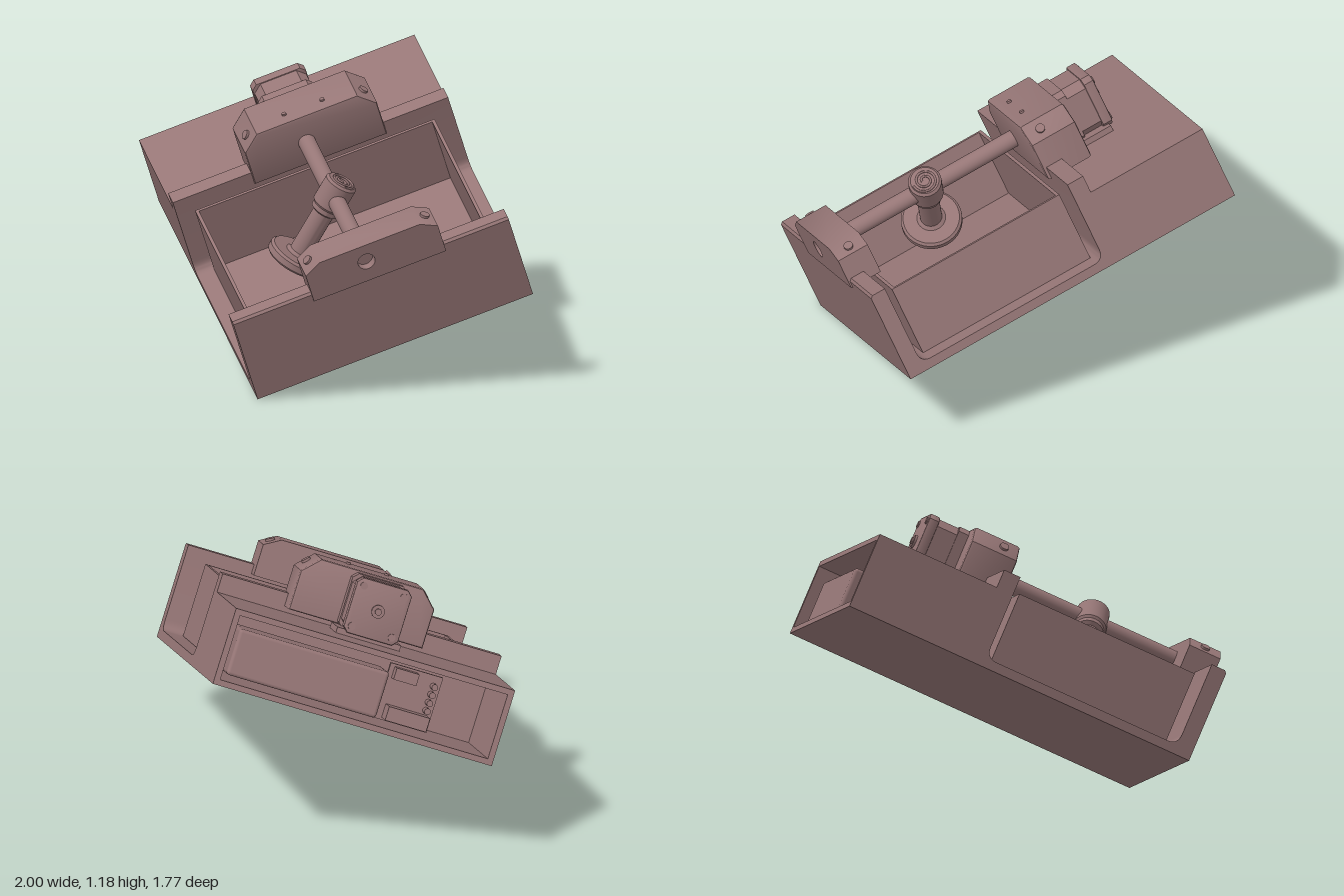
import * as THREE from 'three';
import { RoundedBoxGeometry } from 'three/addons/geometries/RoundedBoxGeometry.js';
import { toCreasedNormals } from 'three/addons/utils/BufferGeometryUtils.js';

// Local frame: u runs along the rod, w is up from the base, v runs to the back (-z).
const WIDTH = 1.57, DEPTH = 1.23, ROD_V = 0.61, ROD_W = 0.465;

export function createModel() {
  const model = new THREE.Group();
  const machine = new THREE.Group();
  machine.name = 'tiltedMachine';
  model.add(machine);
  const material = new THREE.MeshStandardMaterial({ color: 0x967676, side: THREE.DoubleSide });

  const add = (name, geometry, parent = machine) => {
    const mesh = new THREE.Mesh(geometry, material);
    mesh.name = name;
    parent.add(mesh);
    return mesh;
  };
  const box = (name, u0, u1, w0, w1, v0, v1, radius = 0) => {
    const s = [u1 - u0, w1 - w0, v1 - v0];
    const mesh = add(name, radius ? new RoundedBoxGeometry(...s, 2, radius) : new THREE.BoxGeometry(...s));
    mesh.position.set((u0 + u1) / 2, (w0 + w1) / 2, -(v0 + v1) / 2);
    return mesh;
  };
  // Cylinder lying along the rod direction
  const barrel = (name, radius, u0, u1, v, w, sides = 24) => {
    const mesh = add(name, new THREE.CylinderGeometry(radius, radius, u1 - u0, sides));
    mesh.rotation.z = Math.PI / 2;
    mesh.position.set((u0 + u1) / 2, w, -v);
    return mesh;
  };
  // Profile in (v, w) extruded along the rod direction
  const extrudeAlongRod = (name, shape, u0, u1, bevel = 0) => {
    const g = new THREE.ExtrudeGeometry(shape, {
      depth: u1 - u0 - 2 * bevel, bevelEnabled: bevel > 0, bevelSize: bevel,
      bevelThickness: bevel, bevelOffset: -bevel, bevelSegments: 2, curveSegments: 16,
    });
    const mesh = add(name, toCreasedNormals(g, 0.6));
    mesh.rotation.y = Math.PI / 2;
    mesh.position.x = u0 + bevel;
    return mesh;
  };
  const polygon = (pts) => new THREE.Shape(pts.map(([x, y]) => new THREE.Vector2(x, y)));

  // Channel: divider, floor and outer wall with rounded inner corners
  const channel = new THREE.Shape();
  channel.moveTo(0.54, 0);
  channel.lineTo(WIDTH, 0);
  channel.lineTo(WIDTH, 0.4);
  channel.lineTo(WIDTH - 0.01, 0.41);
  channel.lineTo(1.5, 0.41);
  channel.lineTo(1.5, 0.09);
  channel.quadraticCurveTo(1.5, 0.04, 1.45, 0.04);
  channel.lineTo(0.665, 0.04);
  channel.quadraticCurveTo(0.615, 0.04, 0.615, 0.09);
  channel.lineTo(0.615, 0.41);
  channel.lineTo(0.54, 0.41);
  channel.closePath();
  const frame = add('channelFrame', toCreasedNormals(
    new THREE.ExtrudeGeometry(channel, { depth: DEPTH, bevelEnabled: false, curveSegments: 8 }), 0.6));
  frame.position.z = -DEPTH;

  // Hollow housing, open on its outer side
  const T = 0.025;
  box('housingFloor', 0, 0.54, 0, T, 0, DEPTH);
  box('housingTop', 0, 0.54, 0.33 - T, 0.33, 0, DEPTH);
  box('housingFront', 0, 0.54, T, 0.33 - T, 0, T);
  box('housingBack', 0, 0.54, T, 0.33 - T, DEPTH - T, DEPTH);

  // Electronics inside the housing
  box('batteryPack', 0.04, 0.25, 0.05, 0.25, 0.52, 1.18, 0.015);
  box('circuitBoard', 0.2, 0.22, 0.04, 0.28, 0.27, 0.5);
  box('relayBlock', 0.1, 0.2, 0.05, 0.11, 0.29, 0.47);
  box('driverBlock', 0.14, 0.2, 0.22, 0.27, 0.38, 0.48);
  for (let i = 0; i < 4; i++) barrel('terminal', 0.014, 0.15, 0.2, 0.3, 0.13 + i * 0.035, 10);

  // Open tray
  const tray = { u0: 0.65, u1: 1.46, w0: 0.042, w1: 0.357, v0: 0.075, v1: 1.145 }, t = 0.014;
  box('trayFloor', tray.u0, tray.u1, tray.w0, tray.w0 + t, tray.v0, tray.v1);
  box('trayFront', tray.u0, tray.u1, tray.w0, tray.w1, tray.v0, tray.v0 + t);
  box('trayBack', tray.u0, tray.u1, tray.w0, tray.w1, tray.v1 - t, tray.v1);
  box('traySide', tray.u0, tray.u0 + t, tray.w0, tray.w1, tray.v0 + t, tray.v1 - t);
  box('traySide', tray.u1 - t, tray.u1, tray.w0, tray.w1, tray.v0 + t, tray.v1 - t);

  // Bearing blocks straddling the two walls
  const blockProfile = (bottom, top, drop) => polygon([
    [0.35, bottom], [0.94, bottom], [0.94, top - drop], [0.87, top], [0.42, top], [0.35, top - drop]]);
  extrudeAlongRod('driveBlock', blockProfile(0.355, 0.595, 0.07), 0.42, 0.63, 0.012);
  const endProfile = blockProfile(0.37, 0.545, 0.04);
  const bore = new THREE.Path();
  bore.absarc(ROD_V, ROD_W, 0.037, 0, Math.PI * 2, true);
  endProfile.holes.push(bore);
  extrudeAlongRod('endBlock', endProfile, 1.435, 1.577);

  // Screws on the sloping ends of both blocks, pins on the drive block
  const screws = [[0.56, 0.56, 0.79], [1.505, 0.525, 0.52]];
  for (const [u, w, tilt] of screws) {
    for (const side of [-1, 1]) {
      const screw = add('blockScrew', new THREE.CylinderGeometry(0.02, 0.02, 0.02, 16));
      screw.position.set(u, w, -(0.645 + side * 0.26));
      screw.rotation.x = -side * tilt;
    }
  }
  for (const v of [0.56, 0.73]) {
    const pin = add('blockPin', new THREE.CylinderGeometry(0.01, 0.01, 0.012, 12));
    pin.position.set(0.57, 0.597, -v);
  }

  // Motor with chamfered square section, end bolts and shaft boss
  const section = (h, c) => polygon([
    [-h, -h + c], [-h + c, -h], [h - c, -h], [h, -h + c], [h, h - c], [h - c, h], [-h + c, h], [-h, h - c],
  ].map(([v, w]) => [v + ROD_V, w + ROD_W]));
  extrudeAlongRod('motorEndCap', section(0.12, 0.022), 0.24, 0.285, 0.006);
  extrudeAlongRod('motorBody', section(0.115, 0.035), 0.28, 0.38);
  extrudeAlongRod('motorFlange', section(0.12, 0.022), 0.375, 0.425);
  box('motorFoot', 0.26, 0.43, 0.325, 0.355, 0.47, 0.75);
  barrel('motorBoss', 0.028, 0.23, 0.25, ROD_V, ROD_W);
  barrel('motorShaft', 0.014, 0.222, 0.25, ROD_V, ROD_W);
  for (const a of [-1, 1]) for (const b of [-1, 1])
    barrel('motorBolt', 0.016, 0.234, 0.25, ROD_V + a * 0.088, ROD_W + b * 0.088, 12);

  // Rotating rod
  barrel('rod', 0.037, 0.62, 1.54, ROD_V, ROD_W, 32);

  // Arm: collar, stem and round foot hanging forward at 45 degrees
  const arm = new THREE.Group();
  arm.name = 'stirringArm';
  arm.position.set(1.054, ROD_W, -ROD_V);
  arm.rotation.x = -Math.PI / 4;
  machine.add(arm);
  const profile = [
    [0, 0.075], [0.06, 0.075], [0.07, 0.065], [0.07, -0.045], [0.062, -0.055], [0.062, -0.075],
    [0.046, -0.085], [0.046, -0.285], [0.06, -0.297], [0.118, -0.297], [0.128, -0.307],
    [0.128, -0.333], [0.118, -0.343], [0, -0.343],
  ].map(([r, y]) => new THREE.Vector2(r, y)).reverse();
  add('armBody', toCreasedNormals(new THREE.LatheGeometry(profile, 40), 0.5), arm);
  const spiral = [];
  for (let i = 0; i <= 30; i++) {
    const a = i * 0.42, r = 0.012 + i * 0.0014;
    spiral.push(new THREE.Vector3(Math.cos(a) * r, 0.077, Math.sin(a) * r));
  }
  add('collarSpiral', new THREE.TubeGeometry(new THREE.CatmullRomCurve3(spiral), 80, 0.005, 6), arm);

  // Tilt the whole machine onto its lowest corner
  const x = new THREE.Vector3(0.874, -0.309, 0.376).normalize();
  const y = new THREE.Vector3(0.13, 0.893, 0.432);
  const z = new THREE.Vector3().crossVectors(x, y).normalize();
  y.crossVectors(z, x);
  machine.quaternion.setFromRotationMatrix(new THREE.Matrix4().makeBasis(x, y, z));
  machine.position.set(-1, 0.487, 0.12);
  return model;
}
